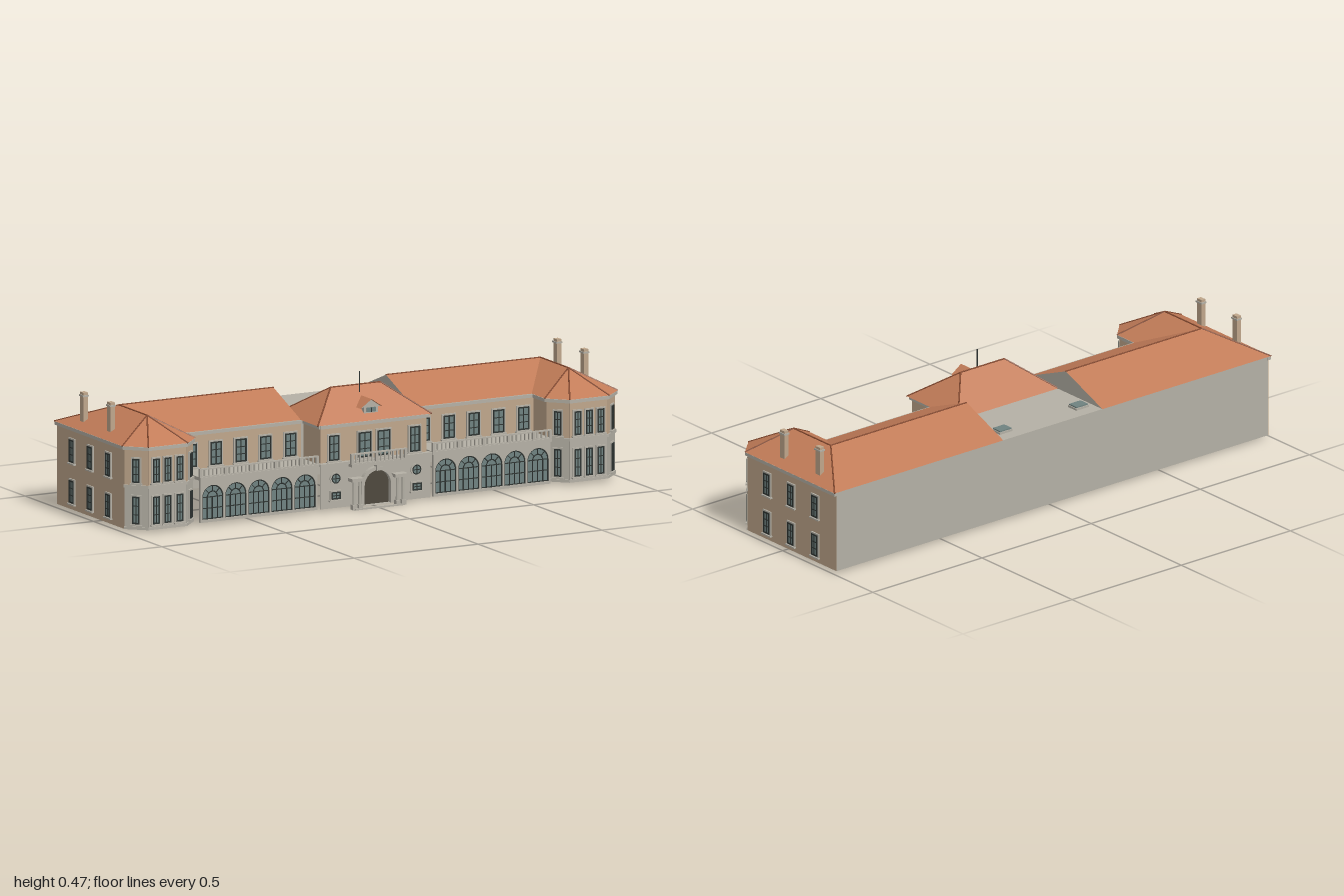
import * as THREE from 'three';

const mat = (name, color) => {
  const m = new THREE.MeshStandardMaterial({ color, side: THREE.DoubleSide });
  m.name = name;
  return m;
};

export function createModel() {
  const tile = mat('terracotta', 0xc27c58), ridgeTile = mat('ridge tile', 0x84492f);
  const tan = mat('tan render', 0xbfa68b), stone = mat('grey stone', 0xb4b0a5);
  const glass = mat('window glass', 0x6f8280), dark = mat('dark frame', 0x2e3432);
  const doorMat = mat('door brown', 0x4d483c);
  const root = new THREE.Group();
  root.name = 'villa';

  const add = (parent, name, geo, material, x = 0, y = 0, z = 0) => {
    const m = new THREE.Mesh(geo, material);
    m.name = name;
    m.position.set(x, y, z);
    parent.add(m);
    return m;
  };
  const box = (parent, name, material, x, y, z, w, h, d) =>
    add(parent, name, new THREE.BoxGeometry(w, h, d), material, x, y, z);

  // Flat polygons, fanned into triangles that face upward
  const sheet = (name, polys, material) => {
    const pos = [], a = new THREE.Vector3(), b = new THREE.Vector3();
    for (const p of polys) for (let i = 1; i < p.length - 1; i++) {
      a.fromArray(p[i]).sub(new THREE.Vector3(...p[0]));
      b.fromArray(p[i + 1]).sub(new THREE.Vector3(...p[0]));
      const up = a.cross(b).y >= 0;
      pos.push(...p[0], ...(up ? p[i] : p[i + 1]), ...(up ? p[i + 1] : p[i]));
    }
    const g = new THREE.BufferGeometry();
    g.setAttribute('position', new THREE.Float32BufferAttribute(pos, 3));
    g.computeVertexNormals();
    return add(root, name, g, material);
  };

  // Round bar between two points
  const bar = (name, p, q, r, material) => {
    const a = new THREE.Vector3(...p), b = new THREE.Vector3(...q), d = b.clone().sub(a);
    const m = add(root, name, new THREE.CylinderGeometry(r, r, d.length(), 6), material);
    m.position.copy(a).add(b).multiplyScalar(0.5);
    m.quaternion.setFromUnitVectors(new THREE.Vector3(0, 1, 0), d.normalize());
  };

  // Group standing between plan points a and b, its +z pointing outward along (nx, nz)
  const frame = (name, a, b, nx, nz) => {
    const g = new THREE.Group();
    g.name = name;
    g.position.set((a[0] + b[0]) / 2, 0, (a[1] + b[1]) / 2);
    g.rotation.y = Math.atan2(nx, nz);
    g.userData.length = Math.hypot(b[0] - a[0], b[1] - a[1]);
    root.add(g);
    return g;
  };
  const panel = (f, name, material, y0, y1) =>
    box(f, name, material, 0, (y0 + y1) / 2, 0, f.userData.length, y1 - y0, 0.004);

  // Window: stone surround, glass plate, dark frame and glazing bars
  const windowAt = (f, u, y, w, h, cols = 2, rows = 3, sill = true) => {
    box(f, 'windowSurround', stone, u, y, 0.004, w + 0.012, h + 0.012, 0.006);
    box(f, 'windowGlass', glass, u, y, 0.0025, w, h, 0.0096);
    for (let i = 0; i <= cols; i++) {
      const t = i % cols ? 0.003 : 0.005;
      box(f, 'windowBar', dark, u + (i / cols - 0.5) * (w - 0.004), y, 0.0075, t, h, 0.004);
    }
    for (let j = 0; j <= rows; j++) {
      const t = j % rows ? 0.003 : 0.005;
      box(f, 'windowBar', dark, u, y + (j / rows - 0.5) * (h - 0.004), 0.0075, w, t, 0.004);
    }
    if (sill) box(f, 'windowSill', stone, u, y - h / 2 - 0.006, 0.006, w + 0.018, 0.005, 0.012);
  };

  // Horizontal moulding following plan points
  const moulding = (name, pts, y0, y1, depth) => {
    for (let i = 0; i < pts.length - 1; i++) {
      const [a, b] = [pts[i], pts[i + 1]];
      const f = frame(name, a, b, -(b[1] - a[1]), b[0] - a[0]);
      box(f, name, stone, 0, (y0 + y1) / 2, 0, f.userData.length + depth * 0.4, y1 - y0, depth);
    }
  };

  const balustrade = (x0, x1, z, y0, y1) => {
    const w = x1 - x0, n = Math.round(w / 0.017), cx = (x0 + x1) / 2;
    box(root, 'balustradeRail', stone, cx, y1 - 0.002, z, w, 0.005, 0.009);
    box(root, 'balustradeBase', stone, cx, y0 + 0.002, z, w, 0.004, 0.009);
    for (let i = 0; i <= n; i++) {
      const post = i % 6 === 0 || i === n;
      box(root, 'baluster', stone, x0 + (w * i) / n, (y0 + y1) / 2, z, post ? 0.01 : 0.005, y1 - y0, post ? 0.01 : 0.005);
    }
  };

  // Arched outline used for openings
  const arch = (P, x, r, y0, spring) => {
    const p = new P();
    p.moveTo(x - r, y0);
    p.lineTo(x + r, y0);
    p.lineTo(x + r, spring);
    p.absarc(x, spring, r, 0, Math.PI, false);
    p.lineTo(x - r, y0);
    return p;
  };
  const rect = (x0, x1, y0, y1) => new THREE.Shape([[x0, y0], [x1, y0], [x1, y1], [x0, y1]].map(p => new THREE.Vector2(...p)));
  const extrude = (s, depth) => new THREE.ExtrudeGeometry(s, { depth, bevelEnabled: false, curveSegments: 12 });

  const E = 0.31, R = 0.39, base = 0.01;

  // Rear wall and flat roof with skylights
  panel(frame('rearWall', [-0.988, -0.284], [0.988, -0.284], 0, -1), 'rearWall', stone, base, E);
  box(root, 'flatRoof', stone, 0, 0.307, -0.162, 0.454, 0.006, 0.25);

  for (const s of [-1, 1]) {
    const m = p => [p[0] * s, ...p.slice(1)];

    // Wing and range roof
    const [A, B, C, D, F, G, H, I, J, K, L] = [[0.227, R, -0.085], [0.85, R, -0.085], [0.85, R, 0.12],
      [0.227, E, -0.288], [1, E, -0.288], [1, E, 0.21], [0.93, E, 0.275], [0.77, E, 0.275],
      [0.705, E, 0.21], [0.705, E, 0.115], [0.227, E, 0.115]].map(m);
    sheet('mainRoof', [[D, F, B, A], [F, G, C, B], [G, H, C], [H, I, C], [I, J, C], [J, K, B, C], [K, L, A, B]], tile);
    sheet('roofGable', [[D, A, L]], stone);
    for (const [p, q] of [[A, B], [B, C], [F, B], [G, C], [H, C], [I, C], [J, C]]) bar('roofRidge', p, q, 0.0028, ridgeTile);

    // Side wall
    const side = frame('sideWall', m([0.988, -0.284]), m([0.988, 0.207]), s, 0);
    panel(side, 'sideWall', tan, base, E);
    for (const z of [0.095, -0.038, -0.17]) for (const y of [0.075, 0.222])
      windowAt(side, -s * (z + 0.0385), y, 0.032, 0.08);

    // Canted bay: stone below, render above
    const bay = [[0.988, 0.207], [0.926, 0.266], [0.774, 0.266], [0.715, 0.207], [0.715, 0.112]].map(m);
    [[0.69, 0.72], [0, 1], [-0.71, 0.7], [-1, 0]].forEach(([nx, nz], i) => {
      const f = frame('bayWall', bay[i], bay[i + 1], nx * s, nz);
      panel(f, 'bayLower', stone, base, 0.165);
      panel(f, 'bayUpper', tan, 0.165, E);
      const us = i === 1 ? [-0.047, 0, 0.047] : i < 3 ? [0] : [];
      for (const u of us) {
        windowAt(f, u, 0.08, 0.026, 0.098, 2, 3);
        windowAt(f, u, 0.223, 0.026, 0.085, 2, 3);
      }
    });
    const band = s > 0 ? bay.slice().reverse() : bay;
    moulding('bayBand', band, 0.16, 0.17, 0.014);
    moulding('bayPlinth', band, base, 0.02, 0.01);
    const eave = [[0.991, -0.284], [0.991, 0.206], [0.926, 0.268], [0.774, 0.268], [0.713, 0.206], [0.713, 0.112], [0.227, 0.112]].map(m);
    moulding('cornice', s > 0 ? eave.reverse() : eave, 0.297, 0.309, 0.016);

    // Set-back upper wall above the terrace
    const upper = frame('upperWall', m([0.225, 0.11]), m([0.715, 0.11]), 0, 1);
    panel(upper, 'upperWall', tan, 0.168, E);
    for (let i = -2; i <= 2; i++) windowAt(upper, i * 0.1, 0.225, 0.044, 0.082, 2, 3);

    // Terrace and glazed arcade
    box(root, 'terrace', stone, s * 0.4685, 0.168, 0.183, 0.48, 0.012, 0.146);
    balustrade(s * 0.47 - 0.235, s * 0.47 + 0.235, 0.248, 0.174, 0.205);
    const wall = rect(-0.236, 0.236, base, 0.164);
    for (let i = -2; i <= 2; i++) wall.holes.push(arch(THREE.Path, i * 0.093, 0.043, 0.02, 0.1));
    const arcade = frame('arcade', [s * 0.47, 0.24], [s * 0.47, 0.24], 0, 1);
    add(arcade, 'arcadeWall', extrude(wall, 0.01), stone);
    for (let i = -2; i <= 2; i++) {
      const x = i * 0.093;
      add(arcade, 'arcadeGlass', new THREE.ShapeGeometry(arch(THREE.Shape, x, 0.043, 0.02, 0.1)), glass, 0, 0, 0.003);
      for (const r of [0.041, 0.02]) add(arcade, 'archFrame', new THREE.TorusGeometry(r, 0.0022, 4, 14, Math.PI), dark, x, 0.1, 0.006);
      for (const u of [-0.041, -0.0205, 0, 0.0205, 0.041]) box(arcade, 'arcadeMullion', dark, x + u, 0.06, 0.006, 0.003, 0.08, 0.004);
      for (const y of [0.022, 0.06, 0.1]) box(arcade, 'arcadeTransom', dark, x, y, 0.006, 0.084, 0.003, 0.004);
      for (const t of [0.25, 0.5, 0.75]) {
        const spoke = box(arcade, 'fanSpoke', dark, x + Math.cos(t * Math.PI) * 0.03, 0.1 + Math.sin(t * Math.PI) * 0.03, 0.006, 0.022, 0.002, 0.004);
        spoke.rotation.z = t * Math.PI;
      }
    }

    // Chimneys
    for (const z of [0.046, -0.151]) {
      box(root, 'chimney', tan, s * 0.955, 0.377, z, 0.018, 0.116, 0.025);
      box(root, 'chimneyCap', stone, s * 0.955, 0.423, z, 0.024, 0.006, 0.032);
    }

    // Skylights
    box(root, 'skylightKerb', stone, s * 0.175, 0.313, -0.218, 0.058, 0.01, 0.046);
    box(root, 'skylight', glass, s * 0.175, 0.32, -0.218, 0.052, 0.005, 0.04);

    // Side of central block and its small lower windows
    panel(frame('centreSide', m([0.212, 0.11]), m([0.212, 0.235]), s, 0), 'centreSide', tan, 0.165, E);
    const low = frame('lowerWindows', [s * 0.163, 0.251], [s * 0.163, 0.251], 0, 1);
    windowAt(low, 0, 0.056, 0.036, 0.026, 2, 2);
    const disc = (name, r, d, m2) => { add(low, name, new THREE.CylinderGeometry(r, r, d, 20), m2, 0, 0.117, d / 2 - 0.003).rotation.x = Math.PI / 2; };
    disc('roundSurround', 0.023, 0.007, stone);
    disc('roundGlass', 0.017, 0.009, glass);
    add(low, 'roundFrame', new THREE.TorusGeometry(0.016, 0.002, 4, 20), dark, 0, 0.117, 0.006);
    box(low, 'roundBar', dark, 0, 0.117, 0.006, 0.032, 0.003, 0.004);
    box(low, 'roundBar', dark, 0, 0.117, 0.006, 0.003, 0.032, 0.004);

    // Paired porch columns
    for (const x of [0.076, 0.099]) {
      add(root, 'porchColumn', new THREE.CylinderGeometry(0.005, 0.006, 0.085, 10), stone, s * x, 0.06, 0.272);
      box(root, 'columnBase', stone, s * x, 0.01, 0.272, 0.017, 0.018, 0.018);
    }
    box(root, 'porchEntablature', stone, s * 0.0875, 0.108, 0.267, 0.05, 0.012, 0.034);
  }

  // Central block: upper render wall, lower stone wall with arched door
  const centre = frame('centreUpper', [-0.212, 0.235], [0.212, 0.235], 0, 1);
  panel(centre, 'centreUpperWall', tan, 0.165, E);
  for (const u of [-0.163, -0.038, 0.038, 0.163]) windowAt(centre, u, 0.225, Math.abs(u) < 0.1 ? 0.05 : 0.04, 0.09, 2, 3);
  moulding('centreCornice', [[-0.214, 0.11], [-0.214, 0.237], [0.214, 0.237], [0.214, 0.11]], 0.297, 0.309, 0.016);
  const lower = rect(-0.222, 0.222, base, 0.165);
  lower.holes.push(arch(THREE.Path, 0, 0.054, 0.0101, 0.08));
  add(root, 'centreLowerWall', extrude(lower, 0.006), stone, 0, 0, 0.245);
  add(root, 'door', new THREE.ShapeGeometry(arch(THREE.Shape, 0, 0.054, base, 0.08)), doorMat, 0, 0, 0.248);
  box(root, 'stringCourse', stone, 0, 0.168, 0.244, 0.45, 0.01, 0.026);

  // Porch arch, balcony and step
  const ring = arch(THREE.Shape, 0, 0.066, base, 0.08);
  ring.holes.push(arch(THREE.Path, 0, 0.053, 0.0101, 0.08));
  add(root, 'porchArch', extrude(ring, 0.016), stone, 0, 0, 0.251);
  box(root, 'keystone', stone, 0, 0.143, 0.261, 0.014, 0.022, 0.024);
  box(root, 'balconySlab', stone, 0, 0.16, 0.262, 0.22, 0.01, 0.034);
  balustrade(-0.108, 0.108, 0.273, 0.165, 0.203);
  box(root, 'doorStep', stone, 0, 0.003, 0.28, 0.2, 0.006, 0.008);

  // Central hipped roof
  const rl = [-0.1, 0.412, 0.103], rr = [0.1, 0.412, 0.103];
  const bl = [-0.23, E, -0.04], br = [0.23, E, -0.04], fl = [-0.23, E, 0.245], fr = [0.23, E, 0.245];
  sheet('centreRoof', [[fl, fr, rr, rl], [bl, br, rr, rl], [fl, rl, bl], [fr, rr, br]], tile);
  for (const [p, q] of [[rl, rr], [fl, rl], [fr, rr], [bl, rl], [br, rr]]) bar('centreRidge', p, q, 0.0028, ridgeTile);

  // Dormer with gabled roof, and flagpole
  const dp = [0, 0.381, 0.222], db = [0, 0.381, 0.145];
  sheet('dormerRoof', [-1, 1].map(s => [dp, db, [s * 0.045, 0.35, 0.182], [s * 0.045, 0.35, 0.222]]), tile);
  sheet('dormerGable', [[[-0.038, 0.352, 0.216], [0.038, 0.352, 0.216], [0, 0.379, 0.216]]], stone);
  box(root, 'dormerFace', stone, 0, 0.341, 0.205, 0.056, 0.026, 0.022);
  box(root, 'dormerGlass', glass, 0, 0.343, 0.217, 0.036, 0.016, 0.004);
  box(root, 'dormerBar', dark, 0, 0.343, 0.219, 0.003, 0.016, 0.003);
  bar('flagpole', [0, 0.38, 0.132], [0, 0.465, 0.132], 0.002, dark);

  return root;
}
